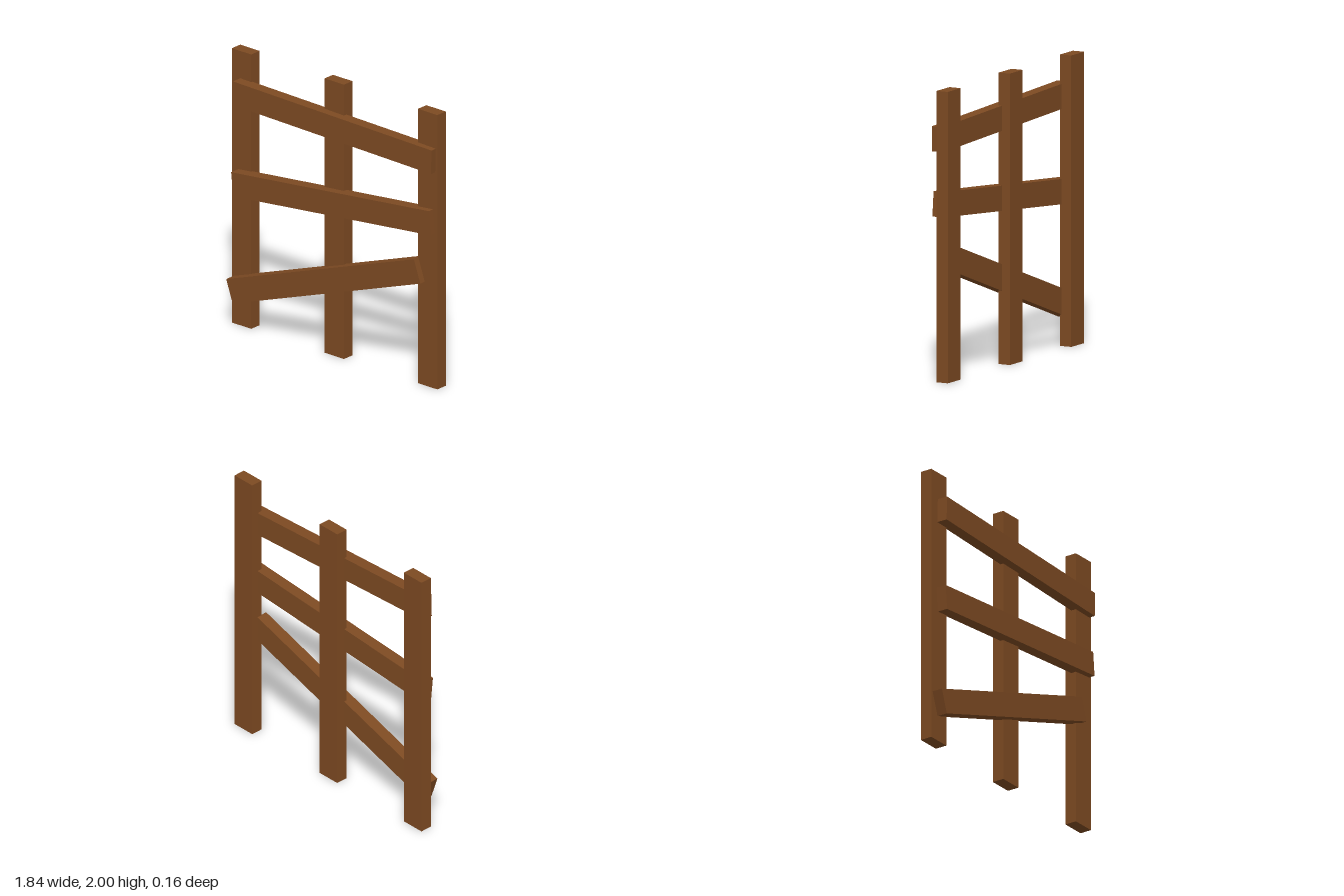
import * as THREE from 'three';

export function createModel() {
  const group = new THREE.Group();
  const wood = new THREE.MeshStandardMaterial({ color: 0x7d4a22 });
  wood.name = 'brown wood';

  const addBoard = (name, w, h, d) => {
    const mesh = new THREE.Mesh(new THREE.BoxGeometry(w, h, d), wood);
    mesh.name = name;
    group.add(mesh);
    return mesh;
  };

  // Upright posts
  const posts = [['rightPost', -0.836], ['middlePost', -0.005], ['leftPost', 0.833]];
  for (const [name, x] of posts) {
    addBoard(name, 0.174, 2, 0.087).position.set(x, 1, -0.04);
  }

  // Crooked rails: tilted in the front plane, then turned slightly into the posts
  const yaw = 0.018;
  const rails = [
    ['topRail', 0.027, 1.69, -1.63],
    ['middleRail', 0.018, 1.133, 5.5],
    ['bottomRail', -0.05, 0.55, 19.1],
  ];
  for (const [name, x, y, tilt] of rails) {
    const rail = addBoard(name, 1.754, 0.173, 0.085);
    rail.position.set(x, y, 0.022 - x * yaw);
    rail.rotation.set(0, yaw, THREE.MathUtils.degToRad(tilt));
  }

  return group;
}
